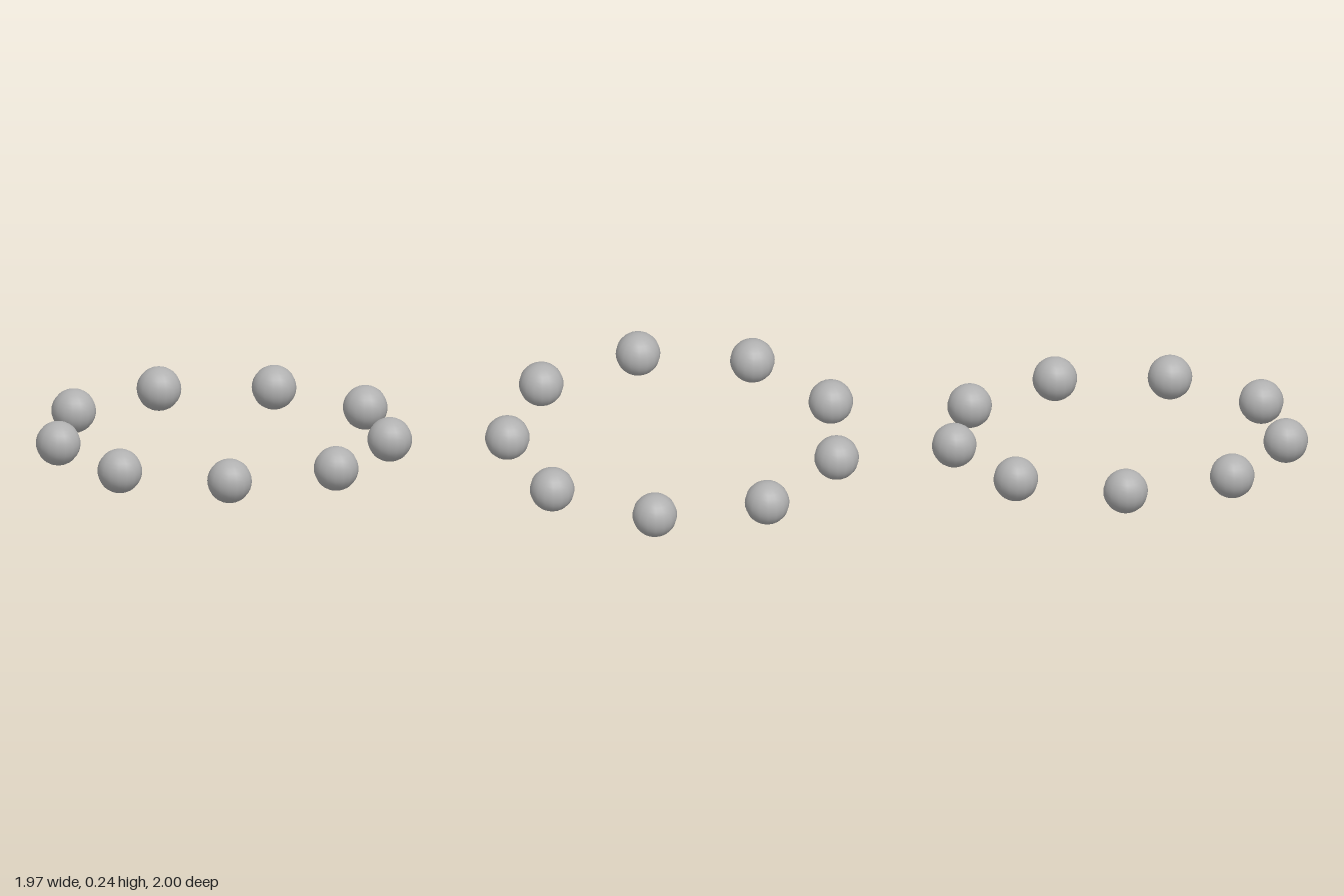
import * as THREE from 'three';

const COUNT = 9;
const BALL_RADIUS = 0.119;
const RING_RADIUS = 0.895;
const RING_OFFSET_X = -0.027; // keeps the odd-numbered ring centred by its extents

export function createModel() {
  const model = new THREE.Group();
  model.name = 'ringOfBalls';

  const grey = new THREE.MeshStandardMaterial({ color: 0xb0b0b0 });
  grey.name = 'grey';

  // Smooth balls, evenly spaced on a flat circle, the first one on +x
  const ballGeometry = new THREE.SphereGeometry(BALL_RADIUS, 16, 16);
  for (let i = 0; i < COUNT; i++) {
    const angle = (i / COUNT) * Math.PI * 2;
    const ball = new THREE.Mesh(ballGeometry, grey);
    ball.name = `ball${i + 1}`;
    ball.position.set(
      RING_OFFSET_X + RING_RADIUS * Math.cos(angle),
      BALL_RADIUS,
      RING_RADIUS * Math.sin(angle)
    );
    model.add(ball);
  }

  return model;
}
